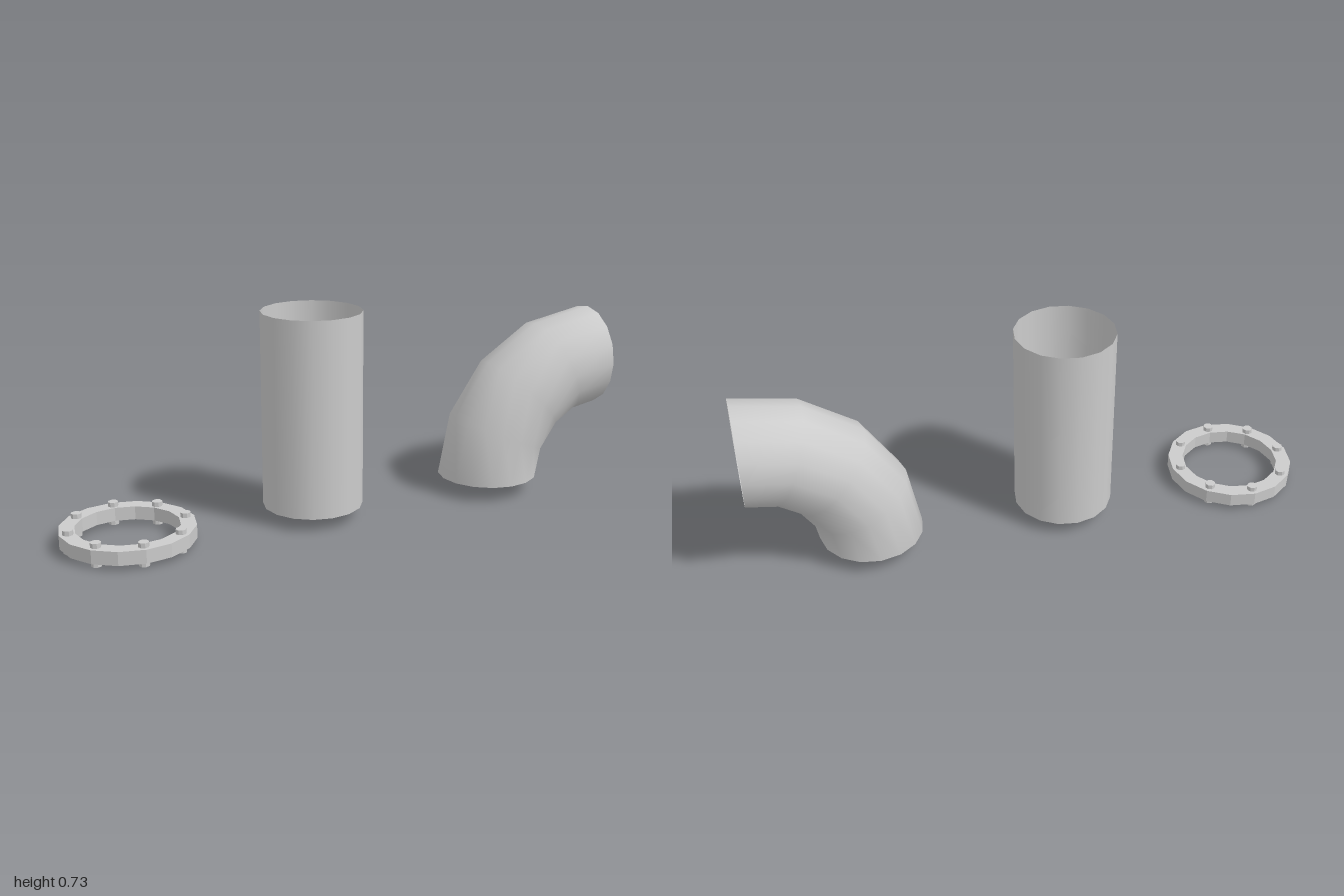
import * as THREE from 'three';

const SIDES = 16;
const solid = new THREE.MeshStandardMaterial({ color: 0xcccccc, flatShading: true });
const sheet = new THREE.MeshStandardMaterial({ color: 0xcccccc, side: THREE.DoubleSide });

function add(parent, name, geometry, material, x = 0, y = 0, z = 0) {
  const mesh = new THREE.Mesh(geometry, material);
  mesh.name = name;
  mesh.position.set(x, y, z);
  parent.add(mesh);
  return mesh;
}

// Flat ring with eight bolts running through it
function createFlange() {
  const flange = new THREE.Group();
  flange.name = 'flange';
  const outer = 0.227, inner = 0.174, bottom = 0.017, top = 0.064;
  const profile = [
    [outer, bottom], [outer, top], [inner, top], [inner, bottom], [outer, bottom],
  ].map(([r, y]) => new THREE.Vector2(r, y));
  add(flange, 'flangeRing', new THREE.LatheGeometry(profile, SIDES), solid);

  const height = 0.08, boltCircle = 0.197;
  const bolt = new THREE.CylinderGeometry(0.018, 0.018, height, 8);
  for (let i = 0; i < 8; i++) {
    const a = (i * Math.PI) / 4;
    add(flange, 'bolt', bolt, solid, boltCircle * Math.cos(a), height / 2, boltCircle * Math.sin(a));
  }
  return flange;
}

export function createModel() {
  const model = new THREE.Group();
  model.name = 'pipeParts';

  const flange = createFlange();
  flange.position.x = -0.773;
  model.add(flange);

  // Straight open pipe
  const bottom = 0.045, top = 0.727;
  const pipe = new THREE.CylinderGeometry(0.174, 0.174, top - bottom, SIDES, 1, true);
  add(model, 'straightPipe', pipe, sheet, -0.114, (bottom + top) / 2, 0);

  // Open quarter-turn elbow, from facing down to facing +x
  const elbow = new THREE.TorusGeometry(0.413, 0.18, SIDES, 4, Math.PI / 2);
  elbow.rotateZ(Math.PI / 2);
  add(model, 'elbowPipe', elbow, sheet, 1, 0.056, -0.004);

  return model;
}
